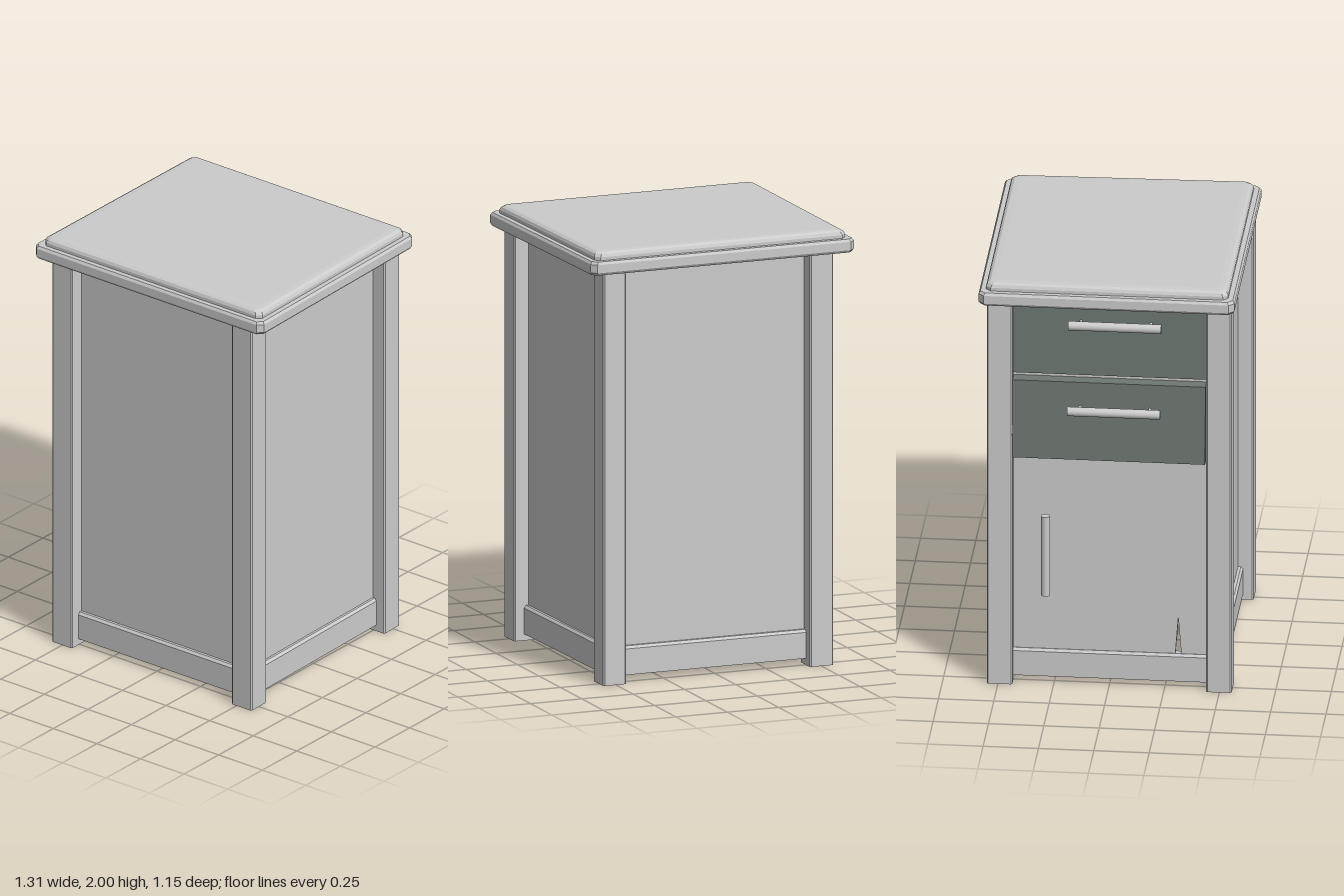
import * as THREE from 'three';

const grey = new THREE.MeshStandardMaterial({ color: 0xcccccc, flatShading: true, side: THREE.DoubleSide });
const smooth = new THREE.MeshStandardMaterial({ color: 0xcccccc });
const dark = new THREE.MeshStandardMaterial({ color: 0x6f7872, flatShading: true });

// Rectangle with clipped corners, anticlockwise from above
function ring(x0, x1, z0, z1, y, c) {
  return [
    [x0 + c, y, z1], [x1 - c, y, z1], [x1, y, z1 - c], [x1, y, z0 + c],
    [x1 - c, y, z0], [x0 + c, y, z0], [x0, y, z0 + c], [x0, y, z1 - c],
  ];
}

// Joins rings from bottom to top, optionally closing both ends
function loft(rings, capped) {
  const p = [];
  for (let k = 0; k + 1 < rings.length; k++) {
    const a = rings[k], b = rings[k + 1];
    for (let i = 0; i < a.length; i++) {
      const j = (i + 1) % a.length;
      p.push(...a[i], ...a[j], ...b[j], ...a[i], ...b[j], ...b[i]);
    }
  }
  if (capped) {
    const lo = rings[0], hi = rings[rings.length - 1];
    for (let i = 1; i + 1 < lo.length; i++) {
      p.push(...lo[0], ...lo[i + 1], ...lo[i], ...hi[0], ...hi[i], ...hi[i + 1]);
    }
  }
  const g = new THREE.BufferGeometry();
  g.setAttribute('position', new THREE.Float32BufferAttribute(p, 3));
  return g;
}

// The +x side flares slightly towards the front
function skew(g) {
  const pos = g.attributes.position;
  for (let i = 0; i < pos.count; i++) {
    if (pos.getX(i) > 0) pos.setX(i, pos.getX(i) * (1 + 0.04 * pos.getZ(i)));
  }
  g.computeVertexNormals();
  return g;
}

function box(x0, x1, y0, y1, z0, z1) {
  return new THREE.BoxGeometry(x1 - x0, y1 - y0, z1 - z0)
    .translate((x0 + x1) / 2, (y0 + y1) / 2, (z0 + z1) / 2);
}

export function createModel() {
  const model = new THREE.Group();
  const add = (name, g, mat = grey, parent = model) => {
    const m = new THREE.Mesh(g, mat);
    m.name = name;
    parent.add(m);
    return m;
  };

  // Table top: edge slab and raised board, both bevelled
  const slab = (inset, y, c) => ring(-0.655 + inset, 0.64 - inset, -0.58 + inset, 0.575 - inset, y, c);
  add('topEdge', skew(loft([
    slab(0.008, 1.9, 0.022), slab(0, 1.912, 0.024), slab(0, 1.95, 0.024), slab(0.008, 1.962, 0.022),
  ], true)));
  add('topBoard', skew(loft([
    slab(0.031, 1.96, 0.022), slab(0.031, 1.977, 0.022), slab(0.037, 1.99, 0.022), slab(0.05, 1.998, 0.02),
    slab(0.075, 2.0, 0.02),
  ], true)));

  // Four hollow corner posts
  for (const [x0, x1] of [[-0.56, -0.445], [0.46, 0.573]]) {
    for (const [z0, z1] of [[-0.55, -0.435], [0.44, 0.555]]) {
      add('cornerPost', skew(loft([ring(x0, x1, z0, z1, 0, 0.006), ring(x0, x1, z0, z1, 1.905, 0.006)], false)));
    }
  }

  // Recessed panels on the three closed sides
  add('frontPanel', skew(box(-0.5, 0.51, 0.1, 1.905, 0.465, 0.485)));
  add('backPanel', skew(box(-0.5, 0.51, 0.1, 1.905, -0.48, -0.46)));
  add('sidePanel', skew(box(0.485, 0.505, 0.1, 1.905, -0.47, 0.475)));

  // Bottom rails with a bevelled upper edge
  const rail = (x0, x1, z0, z1) => add('bottomRail', skew(loft([
    ring(x0, x1, z0, z1, 0.03, 0), ring(x0, x1, z0, z1, 0.15, 0),
    ring(x0 + 0.01, x1 - 0.01, z0 + 0.01, z1 - 0.01, 0.162, 0),
  ], true)));
  rail(-0.47, 0.48, 0.455, 0.508);
  rail(-0.47, 0.48, -0.503, -0.45);
  rail(0.475, 0.526, -0.46, 0.46);
  rail(-0.522, -0.47, -0.46, 0.46);

  // Door with a narrow split at its lower edge
  const door = new THREE.Shape();
  door.moveTo(-0.45, 0.14);
  door.lineTo(0.295, 0.14);
  door.lineTo(0.31, 0.34);
  door.lineTo(0.325, 0.14);
  door.lineTo(0.455, 0.14);
  door.lineTo(0.455, 1.53);
  door.lineTo(-0.45, 1.53);
  door.closePath();
  add('door', new THREE.ExtrudeGeometry(door, { depth: 0.025, bevelEnabled: false })
    .rotateY(-Math.PI / 2).translate(-0.485, 0, 0));

  // Drawer fronts: the lower one stands out and leans slightly
  add('upperDrawer', box(-0.52, -0.46, 1.52, 1.905, -0.445, 0.45), dark);
  const lower = box(-0.578, -0.48, 1.13, 1.505, -0.433, 0.438);
  const pos = lower.attributes.position;
  for (let i = 0; i < pos.count; i++) {
    if (pos.getX(i) < -0.55) pos.setX(i, pos.getY(i) < 1.3 ? -0.585 : -0.57);
  }
  lower.computeVertexNormals();
  add('lowerDrawer', lower, dark);

  // Bar handles on two stems, built upright and turned for the drawers
  const handle = (name, x, y, z, length, stem, horizontal) => {
    const h = new THREE.Group();
    h.name = name;
    add('bar', new THREE.CylinderGeometry(0.021, 0.021, length, 16), smooth, h);
    for (const s of [-1, 1]) {
      add('stem', new THREE.CylinderGeometry(0.007, 0.007, stem, 10).rotateZ(Math.PI / 2)
        .translate(stem / 2, s * length * 0.375, 0), smooth, h);
    }
    if (horizontal) h.rotation.x = Math.PI / 2;
    h.position.set(x, y, z);
    model.add(h);
  };
  handle('upperDrawerHandle', -0.576, 1.785, 0.03, 0.42, 0.07, true);
  handle('lowerDrawerHandle', -0.63, 1.387, 0.03, 0.42, 0.07, true);
  handle('doorHandle', -0.61, 0.665, -0.28, 0.39, 0.11, false);

  return model;
}
